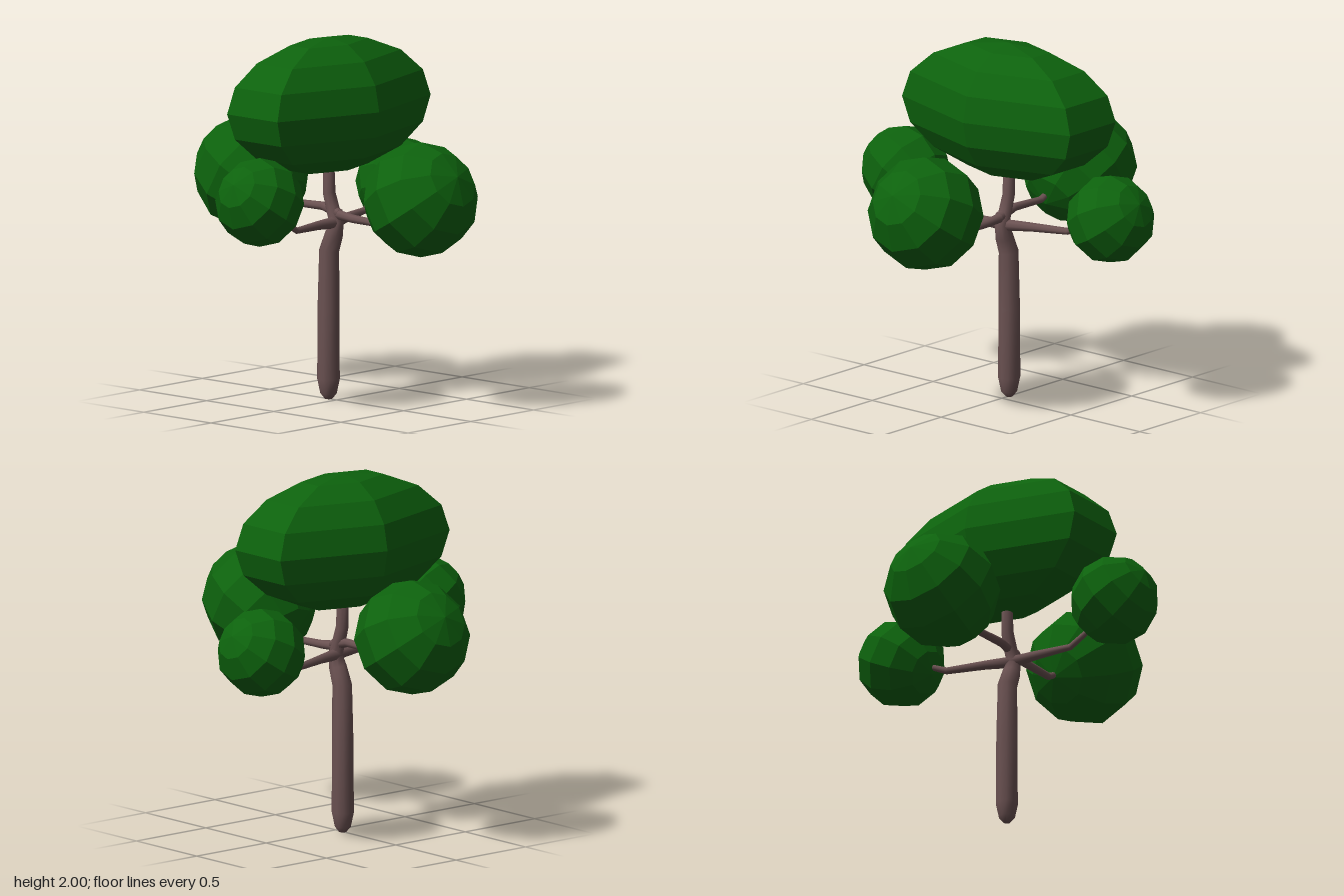
import * as THREE from 'three';

const leafMat = new THREE.MeshStandardMaterial({ color: 0x0d620d, flatShading: true });
const barkMat = new THREE.MeshStandardMaterial({ color: 0x6b5252 });

// Closed tapered limb through points given as [x, y, z, radius]
function limb(name, pts, sides = 8) {
  const centres = pts.map(p => new THREE.Vector3(p[0], p[1], p[2]));
  const pos = [], idx = [], n = pts.length;
  const first = centres[1].clone().sub(centres[0]).normalize();
  const ref = Math.abs(first.y) > 0.8 ? new THREE.Vector3(0, 0, 1) : new THREE.Vector3(0, 1, 0);
  centres.forEach((c, i) => {
    const t = centres[Math.min(i + 1, n - 1)].clone().sub(centres[Math.max(i - 1, 0)]).normalize();
    const u = ref.clone().cross(t).normalize();
    const v = t.clone().cross(u);
    for (let k = 0; k < sides; k++) {
      const a = (k / sides) * Math.PI * 2;
      const p = c.clone().addScaledVector(u, Math.cos(a) * pts[i][3]).addScaledVector(v, Math.sin(a) * pts[i][3]);
      pos.push(p.x, p.y, p.z);
    }
  });
  for (let i = 0; i < n - 1; i++) {
    for (let k = 0; k < sides; k++) {
      const a = i * sides + k, b = i * sides + (k + 1) % sides;
      idx.push(a, b, b + sides, a, b + sides, a + sides);
    }
  }
  // End caps
  const end = (n - 1) * sides;
  for (let k = 1; k < sides - 1; k++) {
    idx.push(0, k + 1, k, end, end + k, end + k + 1);
  }
  const geo = new THREE.BufferGeometry();
  geo.setAttribute('position', new THREE.Float32BufferAttribute(pos, 3));
  geo.setIndex(idx);
  geo.computeVertexNormals();
  const mesh = new THREE.Mesh(geo, barkMat);
  mesh.name = name;
  return mesh;
}

// Faceted leaf ball whose pole leans outward and up, turned by yaw
function leafBall(name, r, x, y, z, yaw) {
  const mesh = new THREE.Mesh(new THREE.SphereGeometry(r, 10, 6), leafMat);
  mesh.rotation.set(0, yaw, -Math.PI / 3, 'YZX');
  mesh.position.set(x, y, z);
  mesh.name = name;
  return mesh;
}

export function createModel() {
  const tree = new THREE.Group();
  tree.name = 'tree';

  // Trunk with a rounded foot and a kink below the crown
  tree.add(limb('trunk', [
    [-0.06, 0.0, 0, 0.02], [-0.06, 0.03, 0, 0.045], [-0.06, 0.11, 0, 0.062],
    [-0.06, 0.5, 0, 0.06], [-0.055, 0.82, 0, 0.055], [-0.02, 0.91, 0, 0.05],
    [0.0, 0.98, 0, 0.04], [-0.03, 1.06, 0, 0.037], [-0.055, 1.14, 0, 0.035], [-0.06, 1.36, 0, 0.03],
  ], 10));

  // Branches
  tree.add(limb('leftBranch', [
    [-0.04, 1.03, 0, 0.03], [0.12, 1.015, 0, 0.024], [0.31, 1.01, 0, 0.02], [0.42, 1.07, 0, 0.016],
  ]));
  tree.add(limb('rightBranch', [
    [0.02, 1.03, 0, 0.03], [-0.1, 1.06, 0, 0.024], [-0.32, 1.055, 0, 0.02], [-0.42, 1.1, 0, 0.016],
  ]));
  tree.add(limb('frontBranch', [
    [-0.01, 0.98, -0.02, 0.035], [0.01, 0.985, 0.15, 0.026], [0.04, 0.985, 0.36, 0.018], [0.045, 1.05, 0.48, 0.015],
  ]));
  tree.add(limb('backBranch', [
    [0, 0.98, 0.02, 0.035], [-0.06, 0.985, -0.15, 0.026], [-0.13, 0.985, -0.36, 0.02], [-0.15, 1.05, -0.5, 0.015],
  ]));

  // Long six-sided crown
  const crown = new THREE.Mesh(new THREE.SphereGeometry(1, 6, 8), leafMat);
  crown.scale.set(0.375, 0.375, 0.704);
  crown.position.set(-0.057, 1.625, 0);
  crown.name = 'crown';
  tree.add(crown);

  // Leaf balls at the branch ends
  tree.add(leafBall('leftLeaves', 0.318, 0.627, 1.18, 0, 0));
  tree.add(leafBall('rightLeaves', 0.318, -0.635, 1.18, 0, Math.PI));
  tree.add(leafBall('frontLeaves', 0.245, 0.045, 1.18, 0.66, -Math.PI / 2));
  tree.add(leafBall('backLeaves', 0.245, -0.145, 1.108, -0.66, Math.PI / 2));
  return tree;
}
